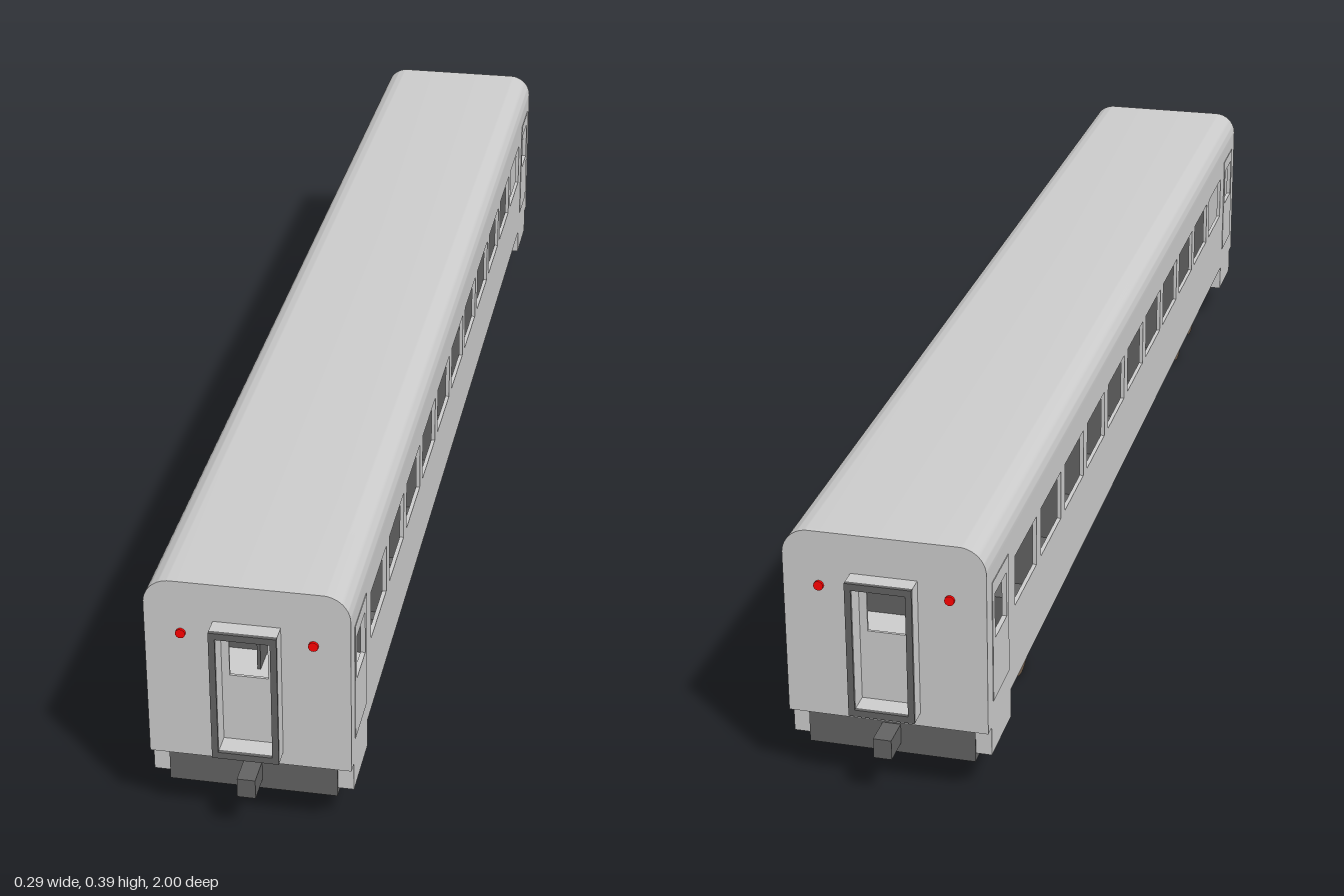
import * as THREE from 'three';
import { toCreasedNormals } from 'three/addons/utils/BufferGeometryUtils.js';

const mat = (color) => new THREE.MeshStandardMaterial({ color });
const grey = mat(0xcccccc), dark = mat(0x626262), brown = mat(0x735f4d), red = mat(0xff0000);

const W = 0.143, L = 0.97, Y0 = 0.11, TOP = 0.393, R = 0.038, T = 0.006;

function add(parent, name, geo, material, x = 0, y = 0, z = 0) {
  const m = new THREE.Mesh(geo, material);
  m.name = name;
  m.position.set(x, y, z);
  parent.add(m);
  return m;
}

// Box given by its limits
function block(parent, name, material, x0, x1, y0, y1, z0, z1) {
  return add(parent, name, new THREE.BoxGeometry(x1 - x0, y1 - y0, z1 - z0), material,
    (x0 + x1) / 2, (y0 + y1) / 2, (z0 + z1) / 2);
}

const rect = (a, b, c, d, Type = THREE.Shape) => {
  const s = new Type();
  s.moveTo(a, c); s.lineTo(b, c); s.lineTo(b, d); s.lineTo(a, d); s.closePath();
  return s;
};
const hole = (a, b, c, d) => rect(a, b, c, d, THREE.Path);
const extrude = (shape, depth) =>
  new THREE.ExtrudeGeometry(shape, { depth, bevelEnabled: false, curveSegments: 10 });

// Rounded top half of the body section, traced from right to left
function arch(s, w, top, r) {
  s.lineTo(w, top - r);
  s.absarc(w - r, top - r, r, 0, Math.PI / 2, false);
  s.lineTo(-w + r, top);
  s.absarc(-w + r, top - r, r, Math.PI / 2, Math.PI, false);
}

function buildBody(root) {
  const body = new THREE.Group();
  body.name = 'body';
  root.add(body);

  // Side walls with eleven windows and a door window near each end
  const wall = rect(-L, L, Y0, TOP - R);
  for (let i = -5; i <= 5; i++) {
    const c = i * 0.1515;
    wall.holes.push(hole(c - 0.0625, c + 0.0625, 0.23, 0.307));
  }
  for (const s of [-1, 1]) wall.holes.push(hole(s * 0.901 - 0.031, s * 0.901 + 0.031, 0.24, 0.308));
  const wallGeo = extrude(wall, T).rotateY(-Math.PI / 2);
  const doorShape = rect(-0.043, 0.043, 0.147, 0.33);
  doorShape.holes.push(hole(-0.031, 0.031, 0.24, 0.308));
  const doorGeo = extrude(doorShape, 0.002).rotateY(-Math.PI / 2);
  for (const s of [-1, 1]) {
    add(body, 'sideWall', wallGeo, grey, s > 0 ? W : -W + T);
    for (const e of [-1, 1])
      add(body, 'sideDoor', doorGeo, grey, s > 0 ? W + 0.001 : -W + 0.001, 0, e * 0.901);
  }

  // Roof shell
  const roof = new THREE.Shape();
  roof.moveTo(W, TOP - R - 0.001);
  arch(roof, W, TOP, R);
  roof.lineTo(-W, TOP - R - 0.001);
  roof.lineTo(-W + T, TOP - R - 0.001);
  roof.lineTo(-W + R, TOP - T);
  roof.lineTo(W - R, TOP - T);
  roof.lineTo(W - T, TOP - R - 0.001);
  add(body, 'roof', toCreasedNormals(extrude(roof, 2 * L), 0.5), grey, 0, 0, -L);

  // Floor
  block(body, 'floor', grey, -W + T, W - T, Y0, Y0 + 0.02, -L + T, L - T);
}

function buildEnd() {
  const end = new THREE.Group();
  end.name = 'carEnd';

  // End wall with gangway opening
  const wall = new THREE.Shape();
  wall.moveTo(-W, Y0);
  wall.lineTo(W, Y0);
  arch(wall, W, TOP, R);
  wall.closePath();
  wall.holes.push(hole(-0.038, 0.038, 0.14, 0.325));
  add(end, 'endWall', extrude(wall, T), grey, 0, 0, L - T + 0.001);

  // Recessed gangway door
  const door = rect(-0.038, 0.038, 0.14, 0.325);
  door.holes.push(hole(-0.027, 0.027, 0.246, 0.317));
  add(end, 'gangwayDoor', extrude(door, 0.004), grey, 0, 0, L - T - 0.003);

  // Gangway surround and its dark face plate
  const frame = rect(-0.047, 0.047, 0.13, 0.335);
  frame.holes.push(hole(-0.038, 0.038, 0.14, 0.325));
  add(end, 'gangwaySurround', extrude(frame, 0.024), grey, 0, 0, L);
  add(end, 'gangwayFacePlate', extrude(frame, 0.006), dark, 0, 0, 0.994);

  // Tail lamps
  for (const s of [-1, 1])
    add(end, 'tailLamp', new THREE.CylinderGeometry(0.007, 0.007, 0.006, 16).rotateX(Math.PI / 2),
      red, s * 0.092, 0.312, L + 0.002);

  // Buffer beam with sloped inner face
  const beam = new THREE.Shape();
  [[0.955, 0.053], [0.955, Y0], [0.825, Y0], [0.84, 0.053]].forEach(([z, y], i) =>
    i ? beam.lineTo(z, y) : beam.moveTo(z, y));
  beam.closePath();
  add(end, 'bufferBeam', extrude(beam, 0.24).rotateY(-Math.PI / 2), dark, 0.12);

  // Coupler
  block(end, 'coupler', dark, -0.013, 0.013, 0.068, 0.098, 0.95, 1.0);

  // Step boxes under the doors
  for (const s of [-1, 1])
    block(end, 'stepBox', grey, s * 0.131 - 0.012, s * 0.131 + 0.012, 0.066, Y0, 0.848, 0.953);
  return end;
}

function buildBogie() {
  const bogie = new THREE.Group();
  bogie.name = 'bogie';
  block(bogie, 'bogieFrame', brown, -0.088, 0.088, 0.035, 0.088, -0.062, 0.062);
  block(bogie, 'bolster', brown, -0.07, 0.07, 0.085, Y0 + 0.002, -0.033, 0.033);
  const wheel = new THREE.CylinderGeometry(0.048, 0.048, 0.012, 32).rotateZ(Math.PI / 2);
  for (const z of [-0.067, 0.067]) {
    for (const s of [-1, 1]) add(bogie, 'wheel', wheel, brown, s * 0.094, 0.048, z);
    add(bogie, 'axle', new THREE.CylinderGeometry(0.012, 0.012, 0.18, 16).rotateZ(Math.PI / 2),
      brown, 0, 0.048, z);
  }
  return bogie;
}

function buildInterior(root) {
  const interior = new THREE.Group();
  interior.name = 'interior';
  root.add(interior);
  const y = Y0 + 0.02;
  // Partition beside the aisle
  block(interior, 'aislePartition', dark, -0.032, -0.027, y, 0.36, -0.59, 0.78);
  // Cross partitions and bench seats
  for (let i = -4; i <= 5; i++) {
    const z = (i - 0.5) * 0.1515;
    block(interior, 'compartmentWall', dark, -W + T, -0.03, y, 0.35, z - 0.004, z + 0.004);
    for (const s of [-1, 1]) {
      const a = z + s * 0.004, b = z + s * 0.05;
      block(interior, 'bench', dark, -W + T, -0.032, y, 0.19, Math.min(a, b), Math.max(a, b));
    }
    block(interior, 'seatCushion', dark, 0.032, W - T, y, 0.19, z - 0.03, z + 0.03);
    block(interior, 'seatBack', dark, 0.032, W - T, 0.19, 0.28, z - 0.01, z + 0.01);
  }
}

export function createModel() {
  const root = new THREE.Group();
  root.name = 'passengerCoach';
  buildBody(root);
  buildInterior(root);

  for (const a of [0, Math.PI]) {
    const end = buildEnd();
    end.rotation.y = a;
    root.add(end);
  }
  for (const z of [0.693, -0.682]) {
    const bogie = buildBogie();
    bogie.position.z = z;
    root.add(bogie);
  }

  // Underfloor equipment: a tapered tank and a plain box
  const tank = new THREE.Shape();
  [[-0.105, Y0 + 0.002], [-0.075, 0.06], [0.075, 0.06], [0.105, Y0 + 0.002]].forEach(([x, y], i) =>
    i ? tank.lineTo(x, y) : tank.moveTo(x, y));
  tank.closePath();
  add(root, 'underfloorTank', extrude(tank, 0.445), grey, 0, 0, 0.06);
  block(root, 'underfloorBox', grey, -0.085, 0.085, 0.065, Y0 + 0.002, -0.527, -0.155);
  return root;
}
